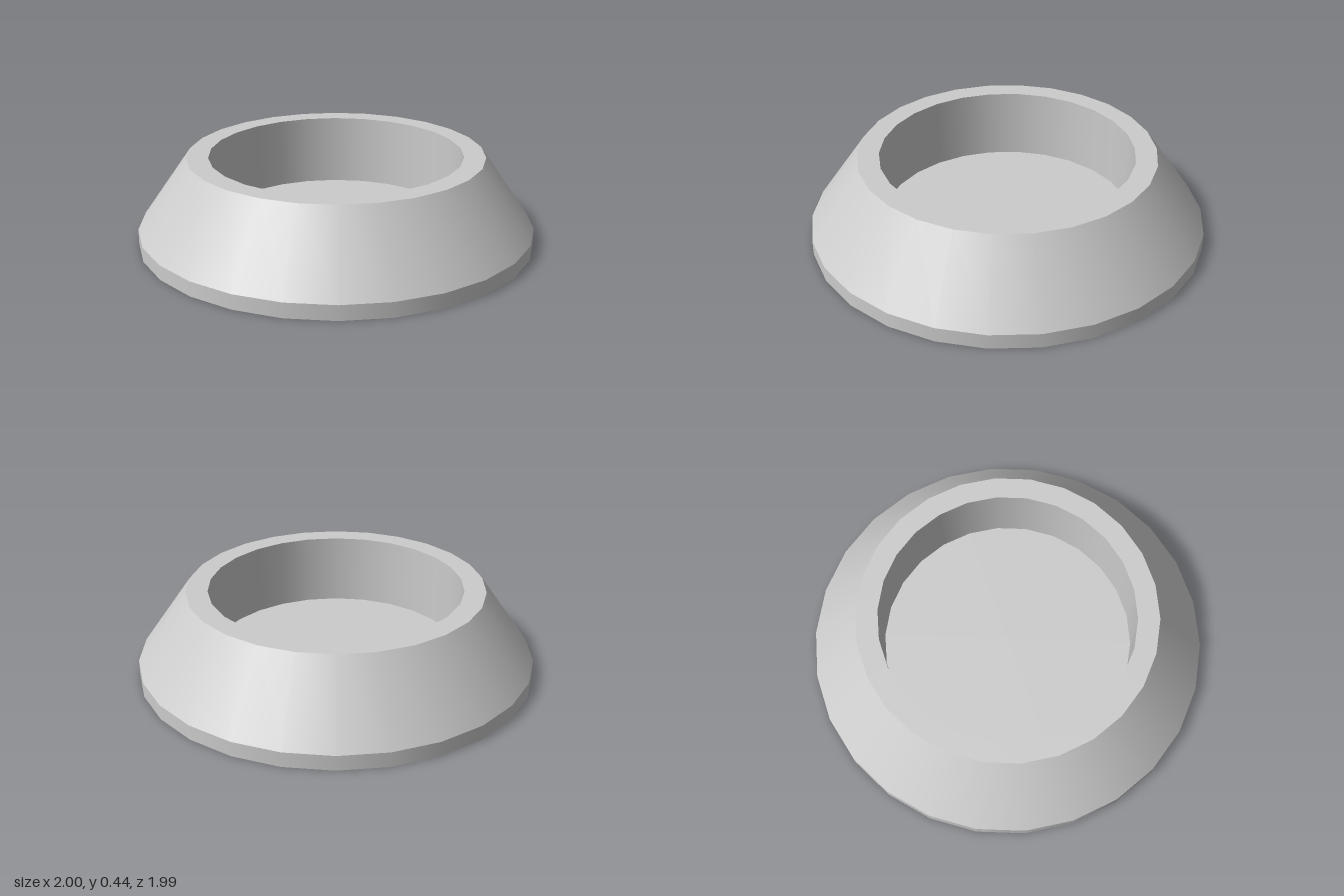
import * as THREE from 'three';

const SIDES = 26;
const START = THREE.MathUtils.degToRad(-4.25);

export function createModel() {
  const group = new THREE.Group();
  group.name = 'taperedDish';
  const material = new THREE.MeshStandardMaterial({ color: 0xcccccc });

  // Each band is revolved on its own, so it is smooth around and sharp at its edges.
  const band = (name, [r0, y0], [r1, y1]) => {
    const points = [new THREE.Vector2(r0, y0), new THREE.Vector2(r1, y1)];
    const mesh = new THREE.Mesh(new THREE.LatheGeometry(points, SIDES, START), material);
    mesh.name = name;
    group.add(mesh);
  };

  // Profile [radius, height], from the centre of the underside to the centre of the recess.
  const profile = [[0, 0], [1, 0], [1, 0.075], [0.747, 0.437], [0.638, 0.437], [0.638, 0.073], [0, 0.073]];
  const names = ['underside', 'baseRim', 'slopedSide', 'topRing', 'recessWall', 'recessFloor'];
  names.forEach((name, i) => band(name, profile[i], profile[i + 1]));

  return group;
}
